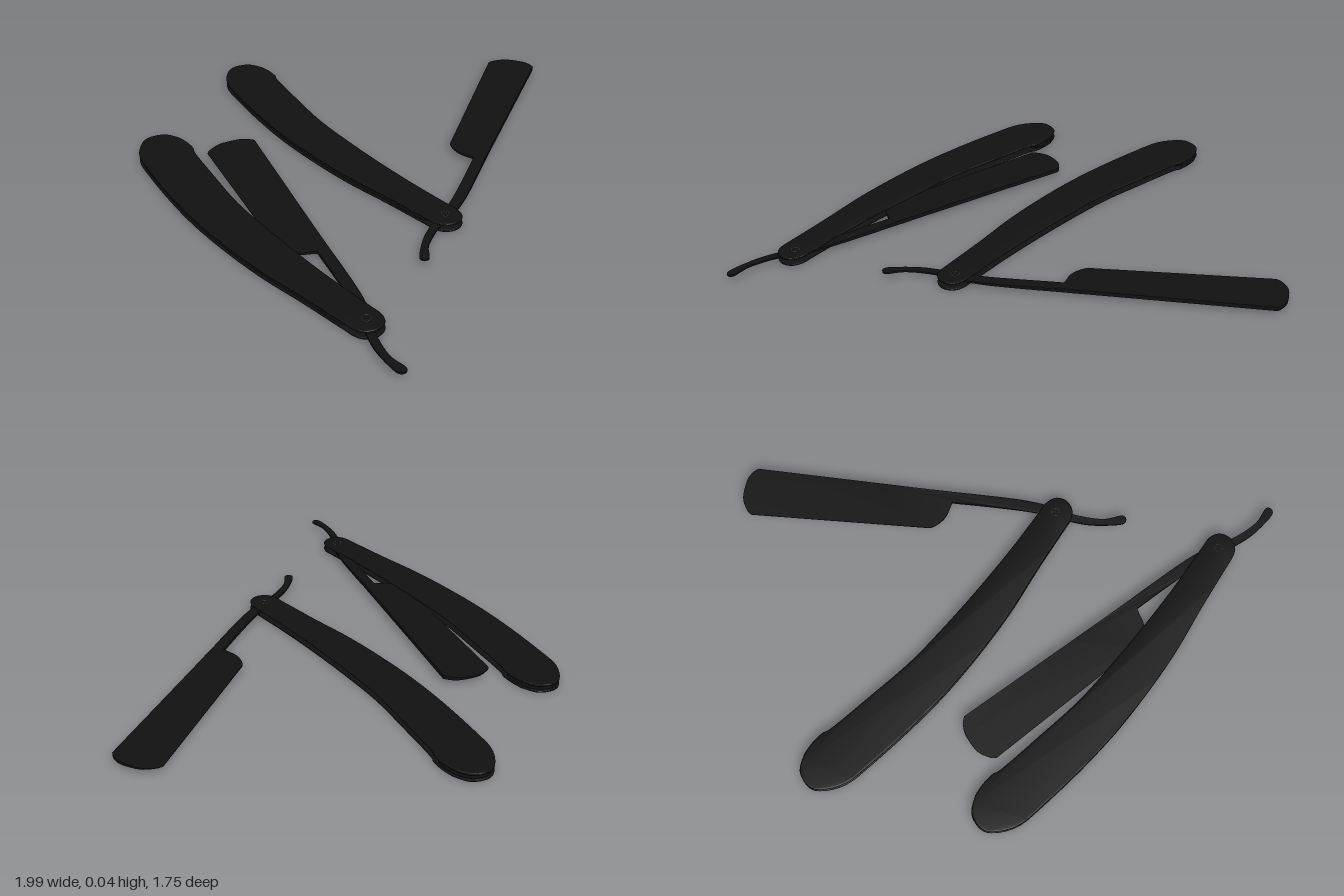
import * as THREE from 'three';
import { toCreasedNormals } from 'three/addons/utils/BufferGeometryUtils.js';

const black = new THREE.MeshStandardMaterial({ color: 0x111111 });
const grey = new THREE.MeshStandardMaterial({ color: 0x444444 });
const PIVOT = [0.43, 0.15];

// Closed outline in the x-z plane, given relative to the pivot; each run is a smooth spline
function outline(...runs) {
  const v = ([x, z]) => new THREE.Vector2(x - PIVOT[0], z - PIVOT[1]);
  const shape = new THREE.Shape();
  const start = v(runs[0][0]);
  shape.moveTo(start.x, start.y);
  runs.forEach((run, i) => {
    const pts = run.slice(i === 0 ? 1 : 0).map(v);
    if (pts.length === 1) shape.lineTo(pts[0].x, pts[0].y);
    else shape.splineThru(pts);
  });
  return shape;
}

// Flat plate lying between two heights
function plate(shape, y0, y1, bevel) {
  const geo = new THREE.ExtrudeGeometry(shape, {
    depth: y1 - y0 - 2 * bevel, curveSegments: 4, bevelEnabled: bevel > 0,
    bevelThickness: bevel, bevelSize: bevel * 1.4, bevelOffset: -bevel * 1.4, bevelSegments: 3,
  });
  geo.rotateX(Math.PI / 2).translate(0, y1 - bevel, 0);
  return geo;
}

function mesh(name, geo, material = black) {
  const m = new THREE.Mesh(geo, material);
  m.name = name;
  return m;
}

const scaleShape = outline([
  [-0.92, 0.043], [-0.87, 0.038], [-0.82, 0.042], [-0.78, 0.056], [-0.6, 0.084], [-0.4, 0.112],
  [-0.2, 0.12], [0, 0.12], [0.2, 0.113], [0.38, 0.1], [0.44, 0.096], [0.48, 0.112], [0.497, 0.15],
  [0.484, 0.19], [0.45, 0.212], [0.38, 0.222], [0.2, 0.245], [0, 0.275], [-0.2, 0.29], [-0.4, 0.293],
  [-0.6, 0.28], [-0.8, 0.255], [-0.9, 0.235], [-0.97, 0.19], [-1, 0.14], [-0.98, 0.075], [-0.92, 0.043],
]);

const coreShape = outline([
  [-0.93, 0.053], [-0.83, 0.052], [-0.75, 0.18], [-0.4, 0.23], [0, 0.215], [0.2, 0.19], [0.36, 0.17],
  [0.38, 0.214], [0.2, 0.238], [0, 0.268], [-0.2, 0.283], [-0.4, 0.286], [-0.6, 0.273], [-0.8, 0.248],
  [-0.9, 0.226], [-0.96, 0.187], [-0.99, 0.14], [-0.975, 0.085], [-0.93, 0.053],
]);

const bladeShape = outline(
  // spine, shank and tail
  [[-0.19, -0.875], [0.0, -0.58], [0.2, -0.27], [0.3, -0.12], [0.39, 0.02], [0.44, 0.12], [0.475, 0.22],
    [0.53, 0.31], [0.585, 0.353], [0.593, 0.372], [0.578, 0.385], [0.55, 0.37], [0.48, 0.29], [0.43, 0.2],
    [0.38, 0.09], [0.3, -0.04], [0.2, -0.19]],
  // heel
  [[0.18, -0.183], [0.14, -0.17], [0.1, -0.172], [0.065, -0.185], [0.045, -0.21]],
  // cutting edge
  [[-0.35, -0.762]],
  // rounded head
  [[-0.348, -0.787], [-0.32, -0.835], [-0.26, -0.872], [-0.22, -0.88], [-0.19, -0.875]],
);

// Wedge-ground blade: thick at the spine, thin at the edge, the shank tapering to the tail
function bladeGeometry() {
  const geo = plate(bladeShape, -0.5, 0.5, 0);
  const pos = geo.attributes.position;
  for (let i = 0; i < pos.count; i++) {
    const x = pos.getX(i) + PIVOT[0] + 0.19, z = pos.getZ(i) + PIVOT[1] + 0.875;
    const along = x * 0.542 + z * 0.841;
    const across = THREE.MathUtils.clamp((-x * 0.841 + z * 0.542) / 0.19, 0, 1);
    const thick = along < 0.79
      ? THREE.MathUtils.lerp(0.016, 0.0015, across)
      : THREE.MathUtils.lerp(0.014, 0.007, THREE.MathUtils.smoothstep(along, 0.8, 1.25));
    pos.setY(i, 0.027 + pos.getY(i) * thick);
  }
  return toCreasedNormals(geo, 0.6);
}

function razor(name, x, z, bladeAngle) {
  const g = new THREE.Group();
  g.name = name;
  g.position.set(x, 0, z);

  // handle: two scales with a core along the closed side
  const handle = new THREE.Group();
  handle.name = 'handle';
  handle.add(
    mesh('lowerScale', toCreasedNormals(plate(scaleShape, 0.001, 0.011, 0.004), 0.6)),
    mesh('upperScale', toCreasedNormals(plate(scaleShape, 0.027, 0.037, 0.004), 0.6)),
    mesh('handleCore', toCreasedNormals(plate(coreShape, 0.009, 0.029, 0), 0.6)),
  );

  const blade = mesh('blade', bladeGeometry());
  blade.rotation.y = bladeAngle;

  // pivot pin with a ring on each face
  const pin = mesh('pivotPin', new THREE.CylinderGeometry(0.015, 0.015, 0.037, 24));
  pin.position.y = 0.019;
  g.add(handle, blade, pin);
  for (const y of [0.0015, 0.0365]) {
    const ring = mesh('pinRing', new THREE.TorusGeometry(0.016, 0.0015, 8, 28), grey);
    ring.rotation.x = Math.PI / 2;
    ring.position.y = y;
    g.add(ring);
  }
  return g;
}

export function createModel() {
  const model = new THREE.Group();
  model.name = 'straightRazors';
  model.add(
    razor('openRazor', 0.43, 0.15, 0),
    razor('halfClosedRazor', 0.72, 0.73, THREE.MathUtils.degToRad(43)),
  );
  return model;
}
